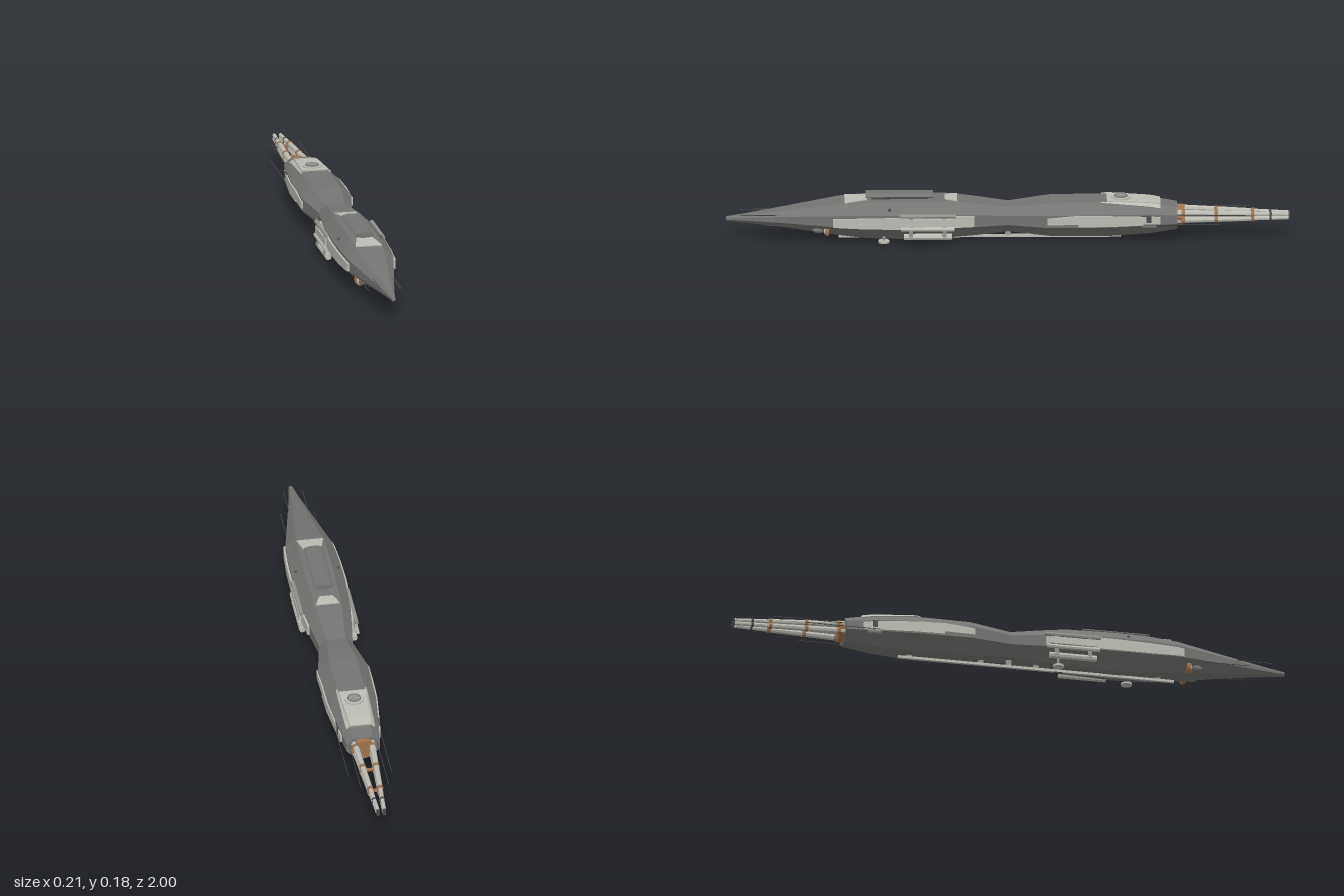
import * as THREE from 'three';

const mat = (name, color) => {
  const m = new THREE.MeshStandardMaterial({ color, flatShading: true });
  m.name = name;
  return m;
};

// Hull stations: z, half width, top y, bottom y
const STATIONS = [
  [1, 0.007, 0.084, 0.07], [0.93, 0.018, 0.094, 0.064], [0.8, 0.044, 0.114, 0.052],
  [0.7, 0.064, 0.13, 0.04], [0.6, 0.084, 0.146, 0.027], [0.5, 0.09, 0.154, 0.016],
  [0.38, 0.092, 0.156, 0.013], [0.2, 0.085, 0.154, 0.018], [0.1, 0.074, 0.143, 0.025],
  [0, 0.061, 0.13, 0.036], [-0.1, 0.08, 0.142, 0.026], [-0.15, 0.09, 0.147, 0.022],
  [-0.35, 0.087, 0.15, 0.02], [-0.5, 0.072, 0.143, 0.028], [-0.6, 0.06, 0.126, 0.042],
];

// Octagonal cross-section at any z, counter-clockwise seen from the front
function section(z) {
  let k = 0;
  while (k < STATIONS.length - 2 && z < STATIONS[k + 1][0]) k++;
  const a = STATIONS[k], b = STATIONS[k + 1], t = (z - a[0]) / (b[0] - a[0]);
  const [w, top, bot] = [1, 2, 3].map((i) => a[i] + (b[i] - a[i]) * t);
  const hi = bot + (top - bot) * 0.73, lo = bot + (top - bot) * 0.37;
  return [[w, lo], [w, hi], [w * 0.56, top], [-w * 0.56, top], [-w, hi], [-w, lo],
    [-w * 0.45, bot], [w * 0.45, bot]].map(([x, y]) => new THREE.Vector3(x, y, z));
}

// Closed skin through rings ordered from front to back
function loft(rings) {
  const p = [], n = rings[0].length;
  const tri = (...v) => v.forEach((q) => p.push(q.x, q.y, q.z));
  for (let s = 0; s < rings.length - 1; s++) {
    const a = rings[s], b = rings[s + 1];
    for (let i = 0; i < n; i++) {
      const j = (i + 1) % n;
      tri(a[i], b[i], a[j]);
      tri(a[j], b[i], b[j]);
    }
  }
  const f = rings[0], r = rings[rings.length - 1];
  for (let i = 1; i < n - 1; i++) {
    tri(f[0], f[i], f[i + 1]);
    tri(r[0], r[i + 1], r[i]);
  }
  const g = new THREE.BufferGeometry();
  g.setAttribute('position', new THREE.Float32BufferAttribute(p, 3));
  g.computeVertexNormals();
  return g;
}

// Slab following one hull face; u ranges are given at the front and back ends
function slab(face, z0, z1, front, back, off) {
  const zs = [z0, ...STATIONS.map((s) => s[0]).filter((z) => z < z0 - 0.001 && z > z1 + 0.001), z1];
  return loft(zs.map((z) => {
    const s = section(z), a = s[face], b = s[(face + 1) % 8], t = (z - z0) / (z1 - z0);
    const out = new THREE.Vector3(b.y - a.y, a.x - b.x, 0).normalize().multiplyScalar(off);
    const [p, q] = [0, 1].map((i) => a.clone().lerp(b, front[i] + (back[i] - front[i]) * t));
    return [p, p.clone().add(out), q.clone().add(out), q];
  }));
}

export function createModel() {
  const hull = mat('hull grey', 0x747472), light = mat('pale plating', 0xbcbcb4);
  const mid = mat('mid grey', 0x92928e), dark = mat('dark metal', 0x4c4c4c);
  const copper = mat('copper', 0x9e7450);
  const model = new THREE.Group();
  const add = (name, geo, material, x = 0, y = 0, z = 0) => {
    const m = new THREE.Mesh(geo, material);
    m.name = name;
    m.position.set(x, y, z);
    model.add(m);
    return m;
  };
  const box = (name, m, w, h, d, x, y, z) => add(name, new THREE.BoxGeometry(w, h, d), m, x, y, z);
  // Cylinder lying along z
  const rod = (name, m, r, len, x, y, z, sides = 8) =>
    add(name, new THREE.CylinderGeometry(r, r, len, sides).rotateX(Math.PI / 2), m, x, y, z);
  // Upright cylinder
  const disc = (name, m, r, h, x, y, z) => add(name, new THREE.CylinderGeometry(r, r, h, 12), m, x, y, z);
  // Tapered cylinder between two points
  const strut = (name, m, a, b, ra, rb) => {
    const d = b.clone().sub(a), c = a.clone().lerp(b, 0.5);
    const s = add(name, new THREE.CylinderGeometry(rb, ra, d.length(), 8), m, c.x, c.y, c.z);
    s.quaternion.setFromUnitVectors(new THREE.Vector3(0, 1, 0), d.normalize());
  };

  // Main hull and its tip
  add('hull', loft(STATIONS.map((s) => section(s[0]))), hull);
  rod('noseTip', mid, 0.007, 0.008, 0, 0.077, 0.996);

  // Dorsal plates and the long raised fairing
  add('frontDorsalPlate', slab(2, 0.58, 0.5, [0, 1], [0.22, 0.78], 0.004), light);
  add('midDorsalPlate', slab(2, 0.225, 0.18, [0.25, 0.75], [0.05, 0.95], 0.004), light);
  add('rearDorsalPlate', slab(2, -0.35, -0.54, [0, 1], [0, 1], 0.005), light);
  const fairing = rod('dorsalFairing', hull, 0.034, 0.24, 0, 0.167, 0.385, 16);
  fairing.scale.y = 0.28;
  box('fairingBase', dark, 0.045, 0.01, 0.2, 0, 0.157, 0.385);

  // Rear dorsal hatch
  disc('hatchBase', light, 0.035, 0.008, 0, 0.154, -0.4);
  add('hatchRing', new THREE.TorusGeometry(0.022, 0.004, 6, 16).rotateX(Math.PI / 2), hull, 0, 0.157, -0.4);
  disc('hatchCap', mid, 0.016, 0.006, 0, 0.159, -0.4);

  for (const s of [1, -1]) {
    const face = (right, left) => (s > 0 ? right : left);
    const u = (a, b) => (s > 0 ? [a, b] : [1 - b, 1 - a]);
    // Flank plating
    add('frontFlankPlate', slab(face(0, 4), 0.62, 0.12, u(0, 0.75), u(0.05, 0.95), 0.007), light);
    add('rearFlankPlate', slab(face(0, 4), -0.14, -0.25, u(0.25, 0.8), u(0.3, 1), 0.005), light);
    add('aftFlankPlate', slab(face(0, 4), -0.25, -0.54, u(0.1, 1), u(0.05, 0.8), 0.005), light);
    add('upperRearPlate', slab(face(1, 3), -0.33, -0.54, face([0.92, 1], [0, 0.08]), u(0.6, 1), 0.004), light);
    box('aftVent', dark, 0.012, 0.025, 0.045, s * 0.072, 0.095, -0.485);

    // Side equipment pods, staggered left to right
    const pz = s > 0 ? 0.285 : 0.215, py = s > 0 ? 0 : -0.007;
    rod('podUpperTube', mid, 0.008, 0.2, s * 0.093, 0.115 + py, pz);
    rod('podMiddleTube', light, 0.008, 0.19, s * 0.097, 0.068 + py, pz);
    rod('podLowerTube', light, 0.0115, 0.17, s * 0.088, 0.037 + py, pz);
    box('podHousing', light, 0.012, 0.026, 0.17, s * 0.095, 0.092 + py, pz);
    for (const dz of [-0.06, 0.06]) {
      box('podBracket', mid, 0.006, 0.08, 0.014, s * 0.096, 0.074 + py, pz + dz);
    }

    // Ventral antenna discs, staggered fore and aft
    const dz = s > 0 ? 0.44 : 0.17, dy = s > 0 ? 0.008 : 0.004;
    disc('ventralDisc', light, 0.02, 0.007, s * 0.053, dy, dz);
    disc('ventralDiscStem', mid, 0.005, 0.03, s * 0.05, 0.02, dz);

    // Chin thrusters: copper nozzle behind a rounded housing
    rod('chinNozzle', copper, 0.021, 0.014, s * 0.045, 0.047, 0.642, 12);
    rod('chinNozzleRim', light, 0.015, 0.004, s * 0.044, 0.048, 0.651, 12);
    const pod = add('chinHousing', new THREE.SphereGeometry(1, 10, 8), hull, s * 0.043, 0.049, 0.672);
    pod.scale.set(0.013, 0.013, 0.022);

    // Antennas at the nose and the stern
    const aerials = [[0.034, 0.1, 0.75, 0.95], [0.06, 0.07, 0.6, 0.86],
      [0.05, 0.1, -0.86, -0.56], [0.078, 0.075, -0.75, -0.44]];
    for (const [x, ay, z0, z1] of aerials) {
      rod('antenna', dark, 0.0014, z1 - z0, s * x, ay, (z0 + z1) / 2, 5);
    }
    // Small surface fittings
    const q = section(0.42), c = q[1].clone().lerp(q[2], 0.4);
    add('fitting', new THREE.SphereGeometry(0.006, 8, 6), dark, s * c.x, c.y, 0.42);
    rod('sternFitting', mid, 0.009, 0.05, s * 0.066, 0.07, -0.5);
  }

  // Long pale keel rail under the hull
  box('keelRail', light, 0.01, 0.009, 1, 0, 0.01, 0.1);
  for (const z of [0.54, 0.3, 0.1, 0, -0.1, -0.36]) box('keelMount', mid, 0.006, 0.026, 0.02, 0, 0.024, z);
  rod('ventralSensor', dark, 0.005, 0.03, 0, 0.006, 0.18);

  // Stern collar and four converging barrels with copper clamps
  const collar = rod('sternCollar', copper, 0.044, 0.03, 0, 0.088, -0.605, 12);
  collar.scale.y = 0.85;
  for (const sx of [1, -1]) for (const sy of [1, -1]) {
    const at = (t) => new THREE.Vector3(sx * (0.031 - 0.02 * t), 0.09 - 0.006 * t + sy * (0.013 - 0.007 * t), -0.59 - 0.41 * t);
    strut('barrel', light, at(0), at(0.67), 0.012, 0.0095);
    strut('barrelTip', light, at(0.66), at(0.985), 0.008, 0.007);
    strut('muzzle', dark, at(0.985), at(1), 0.007, 0.007);
    for (const [t, r] of [[0.06, 0.0135], [0.345, 0.0125], [0.66, 0.0115]]) strut('clamp', copper, at(t), at(t + 0.03), r, r);
    strut('barrelBand', dark, at(0.82), at(0.84), 0.009, 0.009);
  }
  for (const [z, w] of [[-0.74, 0.05], [-0.867, 0.034]]) box('clampBridge', copper, w, 0.008, 0.01, 0, 0.087, z);
  return model;
}
